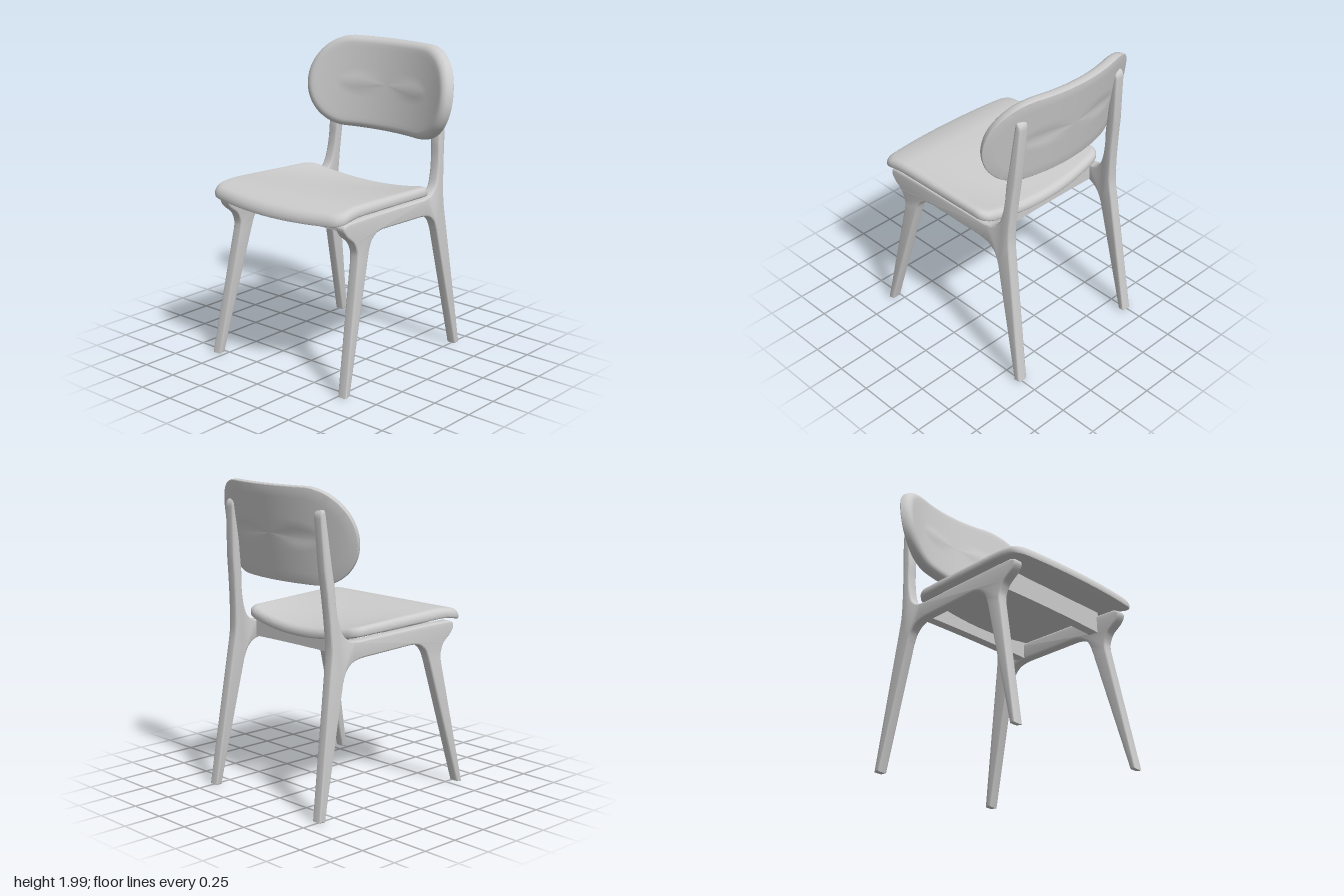
import * as THREE from 'three';
import { toCreasedNormals } from 'three/addons/utils/BufferGeometryUtils.js';

const V = (x, y) => new THREE.Vector2(x, y);

// Counter-clockwise rounded rectangle with half sizes w, h
function roundedRect(w, h, r) {
  const s = new THREE.Shape();
  s.absarc(w - r, h - r, r, 0, Math.PI / 2);
  s.absarc(-w + r, h - r, r, Math.PI / 2, Math.PI);
  s.absarc(-w + r, -h + r, r, Math.PI, Math.PI * 1.5);
  s.absarc(w - r, -h + r, r, Math.PI * 1.5, Math.PI * 2);
  s.closePath();
  return s.getSpacedPoints(144).slice(0, -1);
}

// Closed padded panel: rings of [inset, height] around an outline, bent by map(u, v, h)
function panel(outline, rings, map) {
  const n = outline.length, pos = [], idx = [];
  const w = Math.max(...outline.map(p => p.x)), h = Math.max(...outline.map(p => p.y));
  for (const [inset, height] of rings) {
    const su = Math.max(0, 1 - inset / w), sv = Math.max(0, 1 - inset / h);
    for (const p of outline) pos.push(...map(p.x * su, p.y * sv, height));
  }
  for (let i = 0; i < rings.length - 1; i++) {
    for (let j = 0; j < n; j++) {
      const k = (j + 1) % n, a = i * n, b = a + n;
      if (rings[i + 1][0] < 1) idx.push(a + j, b + j, b + k);
      if (rings[i][0] < 1) idx.push(a + j, b + k, a + k);
    }
  }
  const g = new THREE.BufferGeometry();
  g.setAttribute('position', new THREE.Float32BufferAttribute(pos, 3));
  g.setIndex(idx);
  return toCreasedNormals(g, 0.6);
}

// Rings for a panel of given thickness, rounded by rt in front and rb behind
function panelRings(thick, rt, rb) {
  const rings = [[1, 0]];
  const fills = [0.25, 0.2, 0.15, 0.1, 0.07];
  fills.forEach(d => rings.push([d, 0]));
  for (let i = 0; i <= 6; i++) {
    const a = i / 6 * Math.PI / 2;
    rings.push([rt * (1 - Math.sin(a)), -rt * (1 - Math.cos(a))]);
  }
  for (let i = 0; i <= 3; i++) {
    const a = i / 3 * Math.PI / 2;
    rings.push([rb * (1 - Math.cos(a)), -thick + rb * (1 - Math.sin(a))]);
  }
  [...fills].reverse().forEach(d => rings.push([d, -thick]));
  rings.push([1, -thick]);
  return rings;
}

// Side frame outline in (z, y): front leg, side rail, upright and back leg in one piece
function frameShape() {
  const s = new THREE.Shape();
  s.moveTo(0.535, 0.012);
  s.lineTo(0.575, 0.006);
  s.lineTo(0.412, 0.83);
  s.splineThru([V(0.412, 0.885), V(0.44, 0.945), V(0.5, 0.995), V(0.528, 1.035), V(0.525, 1.065), V(0.49, 1.08)]);
  s.lineTo(0.3, 1.078);
  s.lineTo(-0.28, 1.06);
  s.splineThru([V(-0.35, 1.07), V(-0.405, 1.115), V(-0.435, 1.2), V(-0.45, 1.3), V(-0.455, 1.4), V(-0.47, 1.52)]);
  s.lineTo(-0.505, 1.84);
  s.quadraticCurveTo(-0.51, 1.87, -0.53, 1.855);
  s.quadraticCurveTo(-0.546, 1.84, -0.545, 1.81);
  s.lineTo(-0.53, 1.5);
  s.splineThru([V(-0.512, 1.32), V(-0.5, 1.15), V(-0.497, 1.02), V(-0.508, 0.92)]);
  s.lineTo(-0.641, 0.004);
  s.lineTo(-0.597, 0);
  s.lineTo(-0.415, 0.82);
  s.splineThru([V(-0.385, 0.89), V(-0.33, 0.935), V(-0.25, 0.952)]);
  s.lineTo(0.16, 0.97);
  s.splineThru([V(0.225, 0.957), V(0.28, 0.91), V(0.31, 0.83)]);
  s.closePath();
  return s;
}

// The frame leans inward with height and outward towards the front
const frameX = (y, z) => 0.495 - 0.05 * y + 0.041 * (z + 0.6);

function sideFrame(side) {
  const t = 0.07, b = 0.012;
  const g = new THREE.ExtrudeGeometry(frameShape(), {
    depth: t - 2 * b, bevelEnabled: true, bevelThickness: b, bevelSize: b,
    bevelOffset: -b, bevelSegments: 3, curveSegments: 6,
  });
  g.translate(0, 0, -(t / 2 - b)).rotateY(-Math.PI / 2);
  const p = g.attributes.position;
  for (let i = 0; i < p.count; i++) {
    p.setX(i, p.getX(i) + side * frameX(p.getY(i), p.getZ(i)));
  }
  return toCreasedNormals(g, 0.6);
}

// Cross rail with a gently arched lower edge and hollowed top
function crossRail(half, bottom, top, arch, dip, z, depth) {
  const s = new THREE.Shape();
  s.moveTo(-half, bottom);
  s.quadraticCurveTo(0, bottom + 2 * arch, half, bottom);
  s.lineTo(half, top);
  s.quadraticCurveTo(0, top - 2 * dip, -half, top);
  s.closePath();
  const g = new THREE.ExtrudeGeometry(s, { depth, bevelEnabled: false, curveSegments: 20 });
  g.translate(0, 0, z);
  return toCreasedNormals(g, 0.6);
}

// Seat: tapers to the back, dished at the back, rolled down at the front
function seatPoint(u, v, h) {
  const t = -v / 0.5, c = 1 - (u / 0.55) ** 2;
  const z = 0.13 + 0.45 * t + t * c * (t > 0 ? 0.06 : 0.04);
  const x = u * (0.965 + 0.03 * t);
  const roll = Math.max(0, z - 0.38);
  const sag = 0.06 * c * THREE.MathUtils.smoothstep(0.4 - z, 0, 0.75);
  return [x, 1.161 + 0.028 * z - 0.9 * roll * roll - sag + h, z - 0.25 * roll * h];
}

// Backrest: wrapped round a vertical arc and leaning back
function backPoint(u, v, h) {
  const R = 1.15, a = u / R, r = R - h;
  return [r * Math.sin(a), 1.7 + v + 0.1 * h, -0.49 + R - r * Math.cos(a) - 0.18 * v];
}

export function createModel() {
  const model = new THREE.Group();
  model.name = 'chair';
  const grey = new THREE.MeshStandardMaterial({ color: 0xcccccc });
  grey.name = 'light grey';

  const add = (name, geometry) => {
    const mesh = new THREE.Mesh(geometry, grey);
    mesh.name = name;
    model.add(mesh);
  };

  add('leftFrame', sideFrame(1));
  add('rightFrame', sideFrame(-1));
  add('frontRail', crossRail(0.46, 0.962, 1.108, 0.008, 0, 0.295, 0.065));
  add('backRail', crossRail(0.44, 0.955, 1.07, 0.005, 0.03, -0.32, 0.065));
  add('seat', panel(roundedRect(0.55, 0.5, 0.07), panelRings(0.065, 0.04, 0.012), seatPoint));
  add('backrest', panel(roundedRect(0.592, 0.297, 0.296), panelRings(0.075, 0.045, 0.006), backPoint));
  return model;
}
